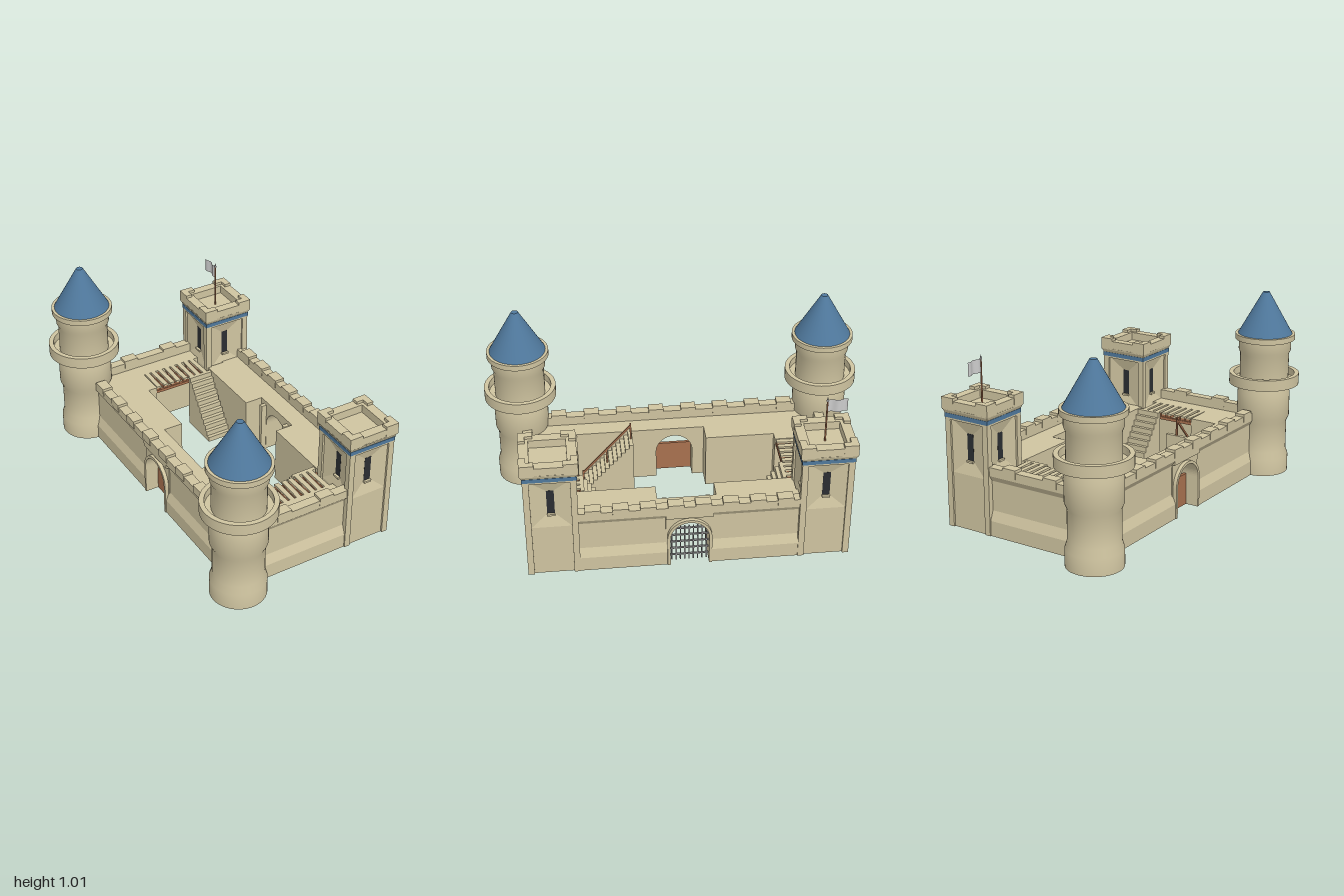
import * as THREE from 'three';
import { toCreasedNormals } from 'three/addons/utils/BufferGeometryUtils.js';

const mat = (color, side = THREE.FrontSide) => new THREE.MeshStandardMaterial({ color, side });
const stone = mat(0xcfc4a0), blue = mat(0x4f789c), wood = mat(0xa8714f), dark = mat(0x2a2d31);
const iron = mat(0x9a9a9a), plain = mat(0xcccccc, THREE.DoubleSide);
const stoneBoth = mat(0xcfc4a0, THREE.DoubleSide);
const WALK = 0.31, TOP = 0.36;

function add(parent, name, geo, material) {
  const m = new THREE.Mesh(geo, material);
  m.name = name;
  parent.add(m);
  return m;
}

// Box given by its minimum and maximum on each axis
function box(parent, name, x0, x1, y0, y1, z0, z1, material = stone) {
  const m = add(parent, name, new THREE.BoxGeometry(x1 - x0, y1 - y0, z1 - z0), material);
  m.position.set((x0 + x1) / 2, (y0 + y1) / 2, (z0 + z1) / 2);
  return m;
}

function polygon(pts) {
  return new THREE.Shape(pts.map(([x, y]) => new THREE.Vector2(x, y)));
}

// Wall section: local +x points outwards, the wall runs along local z from a to b
function wallRun(parent, inner, outer, a, b) {
  const o = outer;
  const shape = polygon([[inner, 0], [o, 0], [o, 0.08], [o - 0.02, 0.13], [o - 0.02, 0.285], [o, 0.315],
    [o, TOP], [o - 0.05, TOP], [o - 0.05, WALK], [inner, WALK]]);
  const geo = new THREE.ExtrudeGeometry(shape, { depth: b - a, bevelEnabled: false });
  add(parent, 'wall', geo, stone).position.z = a;
}

function merlons(parent, outer, a, b, n) {
  const step = (b - a) / n;
  for (let i = 0; i < n; i++) {
    const c = a + step * (i + 0.5);
    box(parent, 'merlon', outer - 0.053, outer + 0.003, TOP - 0.03, 0.375, c - 0.04, c + 0.04);
  }
}

function archPath(path, r, spring) {
  path.moveTo(r, 0);
  path.lineTo(r, spring);
  path.absarc(0, spring, r, 0, Math.PI, false);
  path.lineTo(-r, 0);
}

// Wall piece with an arched passage, and a raised arch surround
function archway(parent, inner, outer, r, spring) {
  const s = new THREE.Shape();
  archPath(s, r, spring);
  s.lineTo(-0.12, 0);
  s.lineTo(-0.12, WALK);
  s.lineTo(0.12, WALK);
  s.lineTo(0.12, 0);
  const body = new THREE.ExtrudeGeometry(s, { depth: outer - 0.015 - inner, bevelEnabled: false, curveSegments: 16 });
  add(parent, 'archway', body.rotateY(Math.PI / 2), stone).position.x = inner;

  const ring = new THREE.Shape();
  archPath(ring, r + 0.015, spring);
  ring.lineTo(-r, 0);
  ring.lineTo(-r, spring);
  ring.absarc(0, spring, r, Math.PI, 0, true);
  ring.lineTo(r, 0);
  const rim = new THREE.ExtrudeGeometry(ring, { depth: 0.03, bevelEnabled: false, curveSegments: 16 });
  add(parent, 'archSurround', rim.rotateY(Math.PI / 2), stone).position.x = outer - 0.025;
  box(parent, 'archParapet', outer - 0.05, outer, 0.29, TOP, -0.12, 0.12);
}

function roundTower() {
  const g = new THREE.Group();
  g.name = 'roundTower';
  const profile = [[0, 0], [0.143, 0], [0.143, 0.09], [0.13, 0.13], [0.13, 0.29], [0.143, 0.32], [0.143, 0.45],
    [0.132, 0.5], [0.19, 0.5], [0.19, 0.56], [0.165, 0.56], [0.165, 0.52], [0.133, 0.52], [0.133, 0.67],
    [0.142, 0.69], [0.142, 0.75], [0.162, 0.75], [0.162, 0.78], [0, 0.78]];
  const lathe = new THREE.LatheGeometry(profile.map(p => new THREE.Vector2(...p)), 40);
  add(g, 'towerBody', toCreasedNormals(lathe, 0.5), stone);
  add(g, 'coneRoof', new THREE.CylinderGeometry(0.018, 0.148, 0.23, 40), blue).position.y = 0.893;
  return g;
}

// Sloped surround leading from a panel edge in to a narrow window, facing +z
function splay() {
  const out = [[-0.1, 0.29], [0.1, 0.29], [0.1, 0.57], [-0.1, 0.57]];
  const win = [[-0.018, 0.36], [0.018, 0.36], [0.018, 0.5], [-0.018, 0.5]];
  const pos = [];
  for (let i = 0; i < 4; i++) {
    const j = (i + 1) % 4;
    const A = [...out[i], 0.122], B = [...out[j], 0.122], C = [...win[j], 0.102], D = [...win[i], 0.102];
    pos.push(...A, ...B, ...C, ...A, ...C, ...D);
  }
  const geo = new THREE.BufferGeometry();
  geo.setAttribute('position', new THREE.Float32BufferAttribute(pos, 3));
  geo.computeVertexNormals();
  return geo;
}

function squareTower() {
  const g = new THREE.Group();
  g.name = 'squareTower';
  box(g, 'core', -0.1, 0.1, 0, 0.6, -0.1, 0.1);
  box(g, 'lowerPanels', -0.122, 0.122, 0, 0.29, -0.122, 0.122);
  box(g, 'upperCourse', -0.132, 0.132, 0.565, 0.58, -0.132, 0.132);
  box(g, 'blueBand', -0.134, 0.134, 0.575, 0.597, -0.134, 0.134, blue);
  const flare = new THREE.CylinderGeometry(0.143 * Math.SQRT2, 0.132 * Math.SQRT2, 0.025, 4, 1).toNonIndexed();
  flare.rotateY(Math.PI / 4).computeVertexNormals();
  add(g, 'cornice', flare, stone).position.y = 0.609;
  for (let k = 0; k < 4; k++) {
    const side = new THREE.Group();
    side.name = 'towerSide';
    side.rotation.y = k * Math.PI / 2;
    g.add(side);
    box(side, 'cornerPillar', 0.1, 0.132, 0, 0.58, 0.1, 0.132);
    add(side, 'windowSplay', splay(), stoneBoth);
    box(side, 'window', -0.019, 0.019, 0.36, 0.5, 0.095, 0.103, dark);
    box(side, 'windowSill', -0.02, 0.02, 0.352, 0.362, 0.1, 0.116);
    box(side, 'parapet', -0.142, 0.142, 0.615, 0.665, 0.092, 0.142);
    box(side, 'cornerMerlon', 0.07, 0.143, 0.62, 0.68, 0.108, 0.143);
    box(side, 'cornerMerlon', -0.143, -0.07, 0.62, 0.68, 0.108, 0.143);
  }
  return g;
}

// Solid stair rising from z0 to z1
function stair(parent, x0, x1, z0, z1, n = 11) {
  const d = (z1 - z0) / n;
  for (let i = 0; i < n; i++) {
    const a = z0 + d * i;
    box(parent, 'step', x0, x1, 0, WALK * (i + 1) / n, Math.min(a, a + d), Math.max(a, a + d));
  }
}

export function createModel() {
  const root = new THREE.Group();
  root.name = 'castle';
  const sideGroup = (name, angle) => {
    const g = new THREE.Group();
    g.name = name;
    g.rotation.y = angle;
    root.add(g);
    return g;
  };

  // Gate wall and rear wall, each with an arch in the middle
  for (const [name, angle, inner, outer, end] of [['gateWall', 0, 0.38, 0.53, 0.57], ['rearWall', Math.PI, 0.22, 0.367, 0.72]]) {
    const g = sideGroup(name, angle);
    wallRun(g, inner, outer, 0.1, end);
    wallRun(g, inner, outer, -end, -0.1);
    archway(g, inner, outer, 0.098, 0.165);
    merlons(g, outer, -end + 0.02, end - 0.02, 8);
  }
  box(root, 'rearDoor', -0.3, -0.285, 0, 0.17, -0.098, 0.098, wood);

  // Portcullis
  for (let i = -4; i <= 4; i++) box(root, 'portcullisBar', 0.488, 0.496, 0, 0.215, i * 0.022 - 0.003, i * 0.022 + 0.003, iron);
  for (let i = 0; i < 5; i++) box(root, 'portcullisRail', 0.487, 0.497, 0.03 + i * 0.042, 0.036 + i * 0.042, -0.098, 0.098, iron);

  // Parts mirrored front to back
  for (const s of [1, -1]) {
    const zBox = (name, x0, x1, y0, y1, z0, z1, m) =>
      box(root, name, x0, x1, y0, y1, Math.min(s * z0, s * z1), Math.max(s * z0, s * z1), m);
    const g = sideGroup(s > 0 ? 'frontWall' : 'backWall', -s * Math.PI / 2);
    const span = s > 0 ? [-0.28, 0.3] : [-0.3, 0.28];
    wallRun(g, 0.675, 0.81, ...span);
    merlons(g, 0.81, ...(s > 0 ? [-0.27, 0.22] : [-0.22, 0.27]), 2);

    const round = roundTower();
    round.position.set(-0.357, 0, s * 0.81);
    root.add(round);
    const square = squareTower();
    square.position.set(0.402, 0, s * 0.685);
    root.add(square);

    zBox('cornerWalkway', -0.31, -0.065, 0, WALK, 0.525, 0.7);
    zBox('gateWalkway', 0.28, 0.4, 0, WALK, 0.15, 0.56);
    zBox('gatePost', 0.35, 0.385, 0, WALK - 0.02, 0.1, 0.122);
    stair(root, 0.14, 0.275, s * 0.31, s * 0.53);

    // Loose planks bridging the gap beside the wall
    for (let i = 0; i < 8; i++) {
      const x = -0.045 + i * 0.041;
      zBox('plank', x - 0.013, x + 0.013, 0.3, 0.31, 0.53, 0.68).rotation.y = 0.03 * ((i * 5) % 3 - 1);
      zBox('plankEdge', x - 0.013, x + 0.013, 0.285, 0.299, 0.535, 0.68, wood).rotation.y = 0.12 * ((i * 7) % 3 - 1);
    }
    zBox('plankBeam', -0.065, 0.28, 0.27, 0.286, 0.53, 0.545, wood);
  }

  // Wider rear walkway and the stair beside it
  box(root, 'rearWalkway', -0.23, -0.115, 0, WALK, -0.53, -0.16);
  stair(root, -0.22, -0.09, 0.515, 0.23, 13);

  // Stair handrail
  for (const [z, y] of [[0.24, 0.3], [0.37, 0.15], [0.5, 0.01]]) box(root, 'railPost', -0.155, -0.147, y, y + 0.11, z - 0.004, z + 0.004, wood);
  const rail = add(root, 'handrail', new THREE.BoxGeometry(0.008, 0.01, 0.39), wood);
  rail.position.set(-0.151, 0.25, 0.37);
  rail.rotation.x = Math.atan2(0.29, 0.26);

  // Flagpole and waving flag on the back square tower
  const pole = add(root, 'flagpole', new THREE.CylinderGeometry(0.004, 0.005, 0.25, 10), wood);
  pole.position.set(0.405, 0.735, -0.685);
  const tip = add(root, 'poleTip', new THREE.ConeGeometry(0.007, 0.025, 10), iron);
  tip.position.set(0.405, 0.87, -0.685);
  const cloth = new THREE.PlaneGeometry(0.1, 0.07, 16, 1).rotateY(Math.PI / 2);
  const p = cloth.attributes.position;
  for (let i = 0; i < p.count; i++) p.setX(i, 0.006 * Math.sin((p.getZ(i) - 0.05) * 90));
  cloth.computeVertexNormals();
  add(root, 'flag', cloth, plain).position.set(0.405, 0.828, -0.737);

  return root;
}
